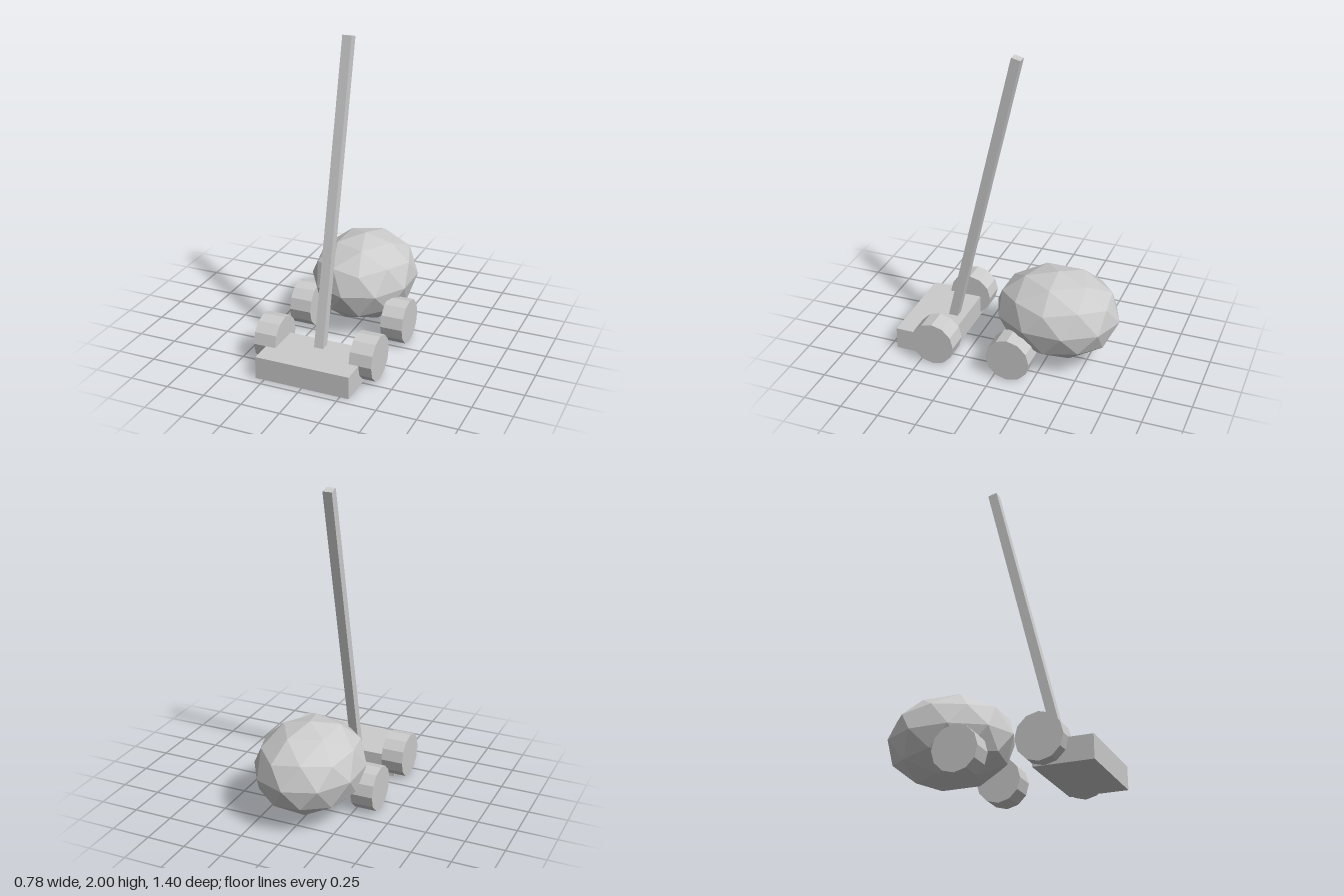
import * as THREE from 'three';

export function createModel() {
  const model = new THREE.Group();
  const grey = new THREE.MeshStandardMaterial({ color: 0xcccccc, flatShading: true });
  grey.name = 'light grey';

  const add = (name, geometry, x, y, z) => {
    const mesh = new THREE.Mesh(geometry, grey);
    mesh.name = name;
    mesh.position.set(x, y, z);
    model.add(mesh);
    return mesh;
  };

  // Faceted egg-shaped body: an icosphere turned so that one corner points up
  const ball = new THREE.IcosahedronGeometry(1, 1);
  ball.rotateZ(-Math.atan(2 / (1 + Math.sqrt(5))));
  ball.scale(0.341, 0.288, 0.406);
  ball.computeVertexNormals();
  add('body', ball, 0, 0.329, -0.297);

  // Flat base plate at the front
  add('basePlate', new THREE.BoxGeometry(0.614, 0.145, 0.362), 0, 0.0725, 0.521);

  // Long pole leaning back from the plate
  const tilt = 0.234, length = 1.93;
  const pole = new THREE.BoxGeometry(0.06, length, 0.06);
  pole.translate(0, -length / 2, 0);
  add('pole', pole, 0, 1.993, -0.019).rotation.x = -tilt;

  // Four twelve-sided wheels
  const wheel = new THREE.CylinderGeometry(0.144, 0.144, 0.145, 12);
  wheel.rotateZ(Math.PI / 2);
  for (const [side, x] of [['Left', 0.317], ['Right', -0.317]]) {
    add('front' + side + 'Wheel', wheel, x, 0.144, 0.413);
    add('rear' + side + 'Wheel', wheel, x, 0.144, -0.096);
  }

  return model;
}
